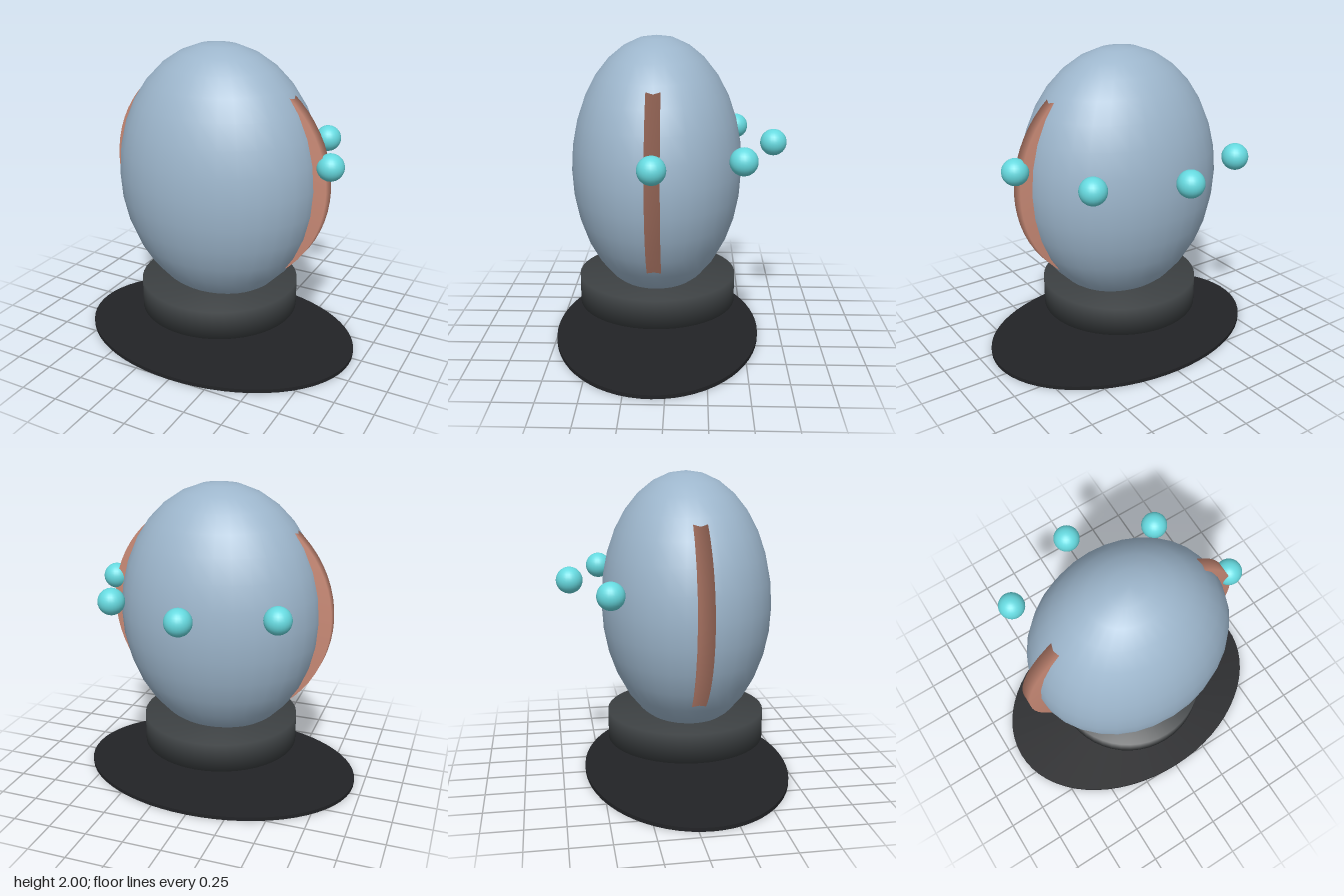
import * as THREE from 'three';

const CZ = 0.08; // everything is centred slightly forward
const mat = (color) => new THREE.MeshStandardMaterial({ color });

// Closed disc around y with softly shaded rims
function softDisc(radius, height, segments) {
  const h = height / 2;
  const profile = [[0, -h], [radius, -h], [radius, h], [0, h]];
  return new THREE.LatheGeometry(profile.map(([x, y]) => new THREE.Vector2(x, y)), segments);
}

export function createModel() {
  const group = new THREE.Group();

  const add = (name, geometry, material, x, y, z) => {
    const mesh = new THREE.Mesh(geometry, material);
    mesh.name = name;
    mesh.position.set(x, y, z);
    group.add(mesh);
    return mesh;
  };

  // Thin oval ground plate
  const base = add('basePlate', new THREE.CylinderGeometry(1, 1, 0.025, 64), mat(0x222326), 0, 0.0125, CZ);
  base.scale.set(0.94, 1, 0.68);

  // Round collar under the shell
  add('collar', softDisc(0.518, 0.19, 48), mat(0x3c4042), 0, 0.335, CZ);

  // Egg-shaped shell
  const shell = add('shell', new THREE.SphereGeometry(1, 32, 16), mat(0x9db6cc), 0, 1.16, CZ);
  shell.scale.set(0.67, 0.84, 0.548);

  // Upright band that emerges as a fin on each side of the shell
  const band = add('sideBand', softDisc(0.745, 0.088, 64), mat(0xc98a76), 0, 1.16, CZ);
  band.rotation.x = Math.PI / 2;

  // Orbs spaced along an arc from the left side round the back
  const orbGeometry = new THREE.SphereGeometry(0.085, 24, 16);
  const orbMaterial = mat(0x66d9df);
  for (let i = 0; i < 4; i++) {
    const a = (i * Math.PI) / 4;
    add(`orb${i + 1}`, orbGeometry, orbMaterial, 0.75 * Math.cos(a), 1.32, CZ - 0.75 * Math.sin(a));
  }

  return group;
}
